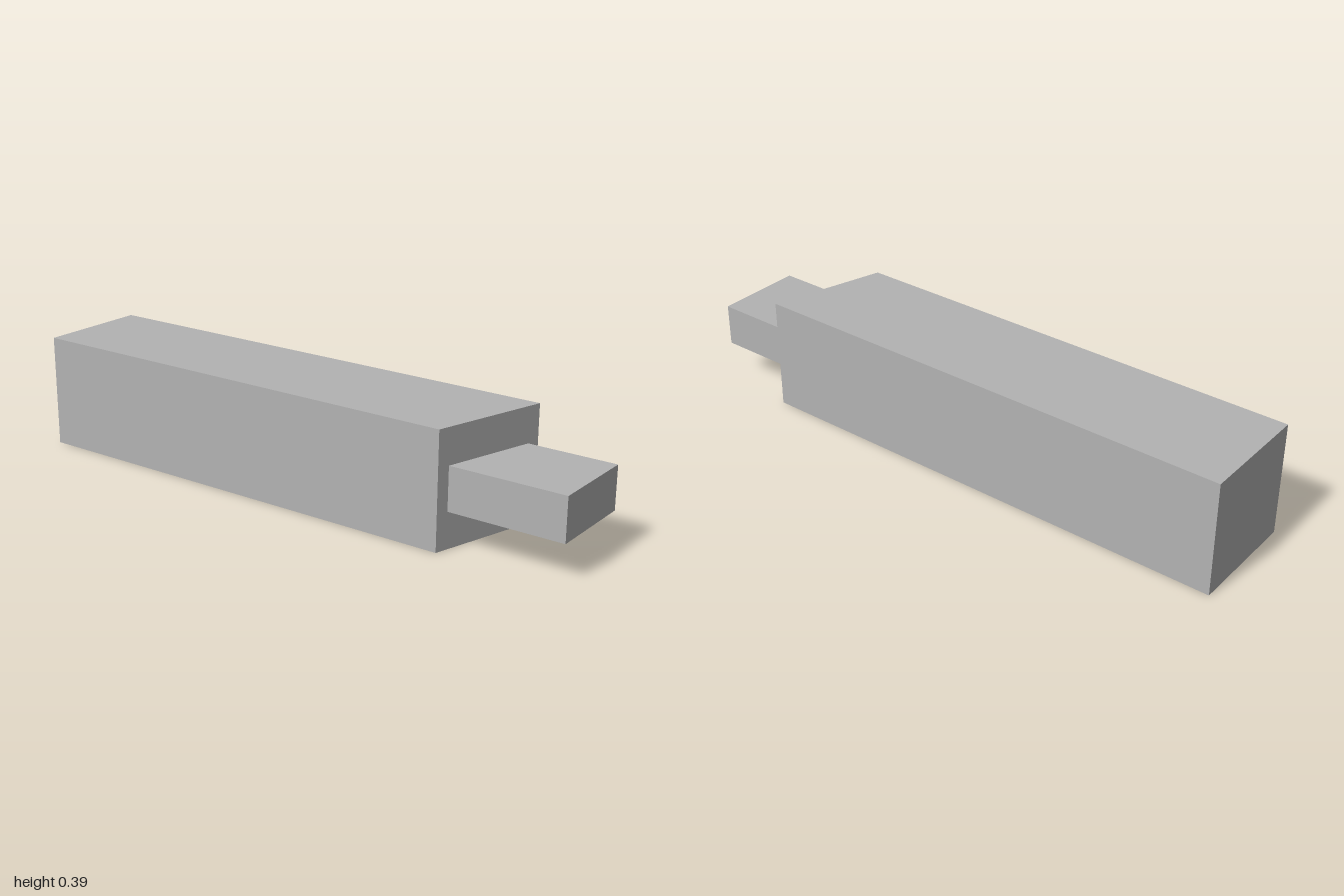
import * as THREE from 'three';

// Prism with a plan outline given as [x, z] points, from height y0 to y1
function prism(name, outline, y0, y1, material) {
  const shape = new THREE.Shape(outline.map(([x, z]) => new THREE.Vector2(x, -z)));
  const geometry = new THREE.ExtrudeGeometry(shape, { depth: y1 - y0, bevelEnabled: false });
  geometry.rotateX(-Math.PI / 2).translate(0, y0, 0);
  const mesh = new THREE.Mesh(geometry, material);
  mesh.name = name;
  return mesh;
}

export function createModel() {
  const group = new THREE.Group();
  group.name = 'slantedBlockWithTongue';
  const grey = new THREE.MeshStandardMaterial({ color: 0xb3b3b3 });
  grey.name = 'grey';

  // Slanted front face, shared by the body and the root of the tongue
  const w = 0.194, t = 0.154;
  const frontZ = (x) => 0.655 + (x / w) * 0.057;

  // Long square body
  group.add(prism('body', [[-w, -1], [w, -1], [w, frontZ(w)], [-w, frontZ(-w)]], 0, 0.389, grey));

  // Flat tongue standing out of the slanted face
  group.add(prism('tongue', [[-t, frontZ(-t)], [t, frontZ(t)], [t, 1], [-t, 1]], 0.122, 0.268, grey));

  return group;
}
